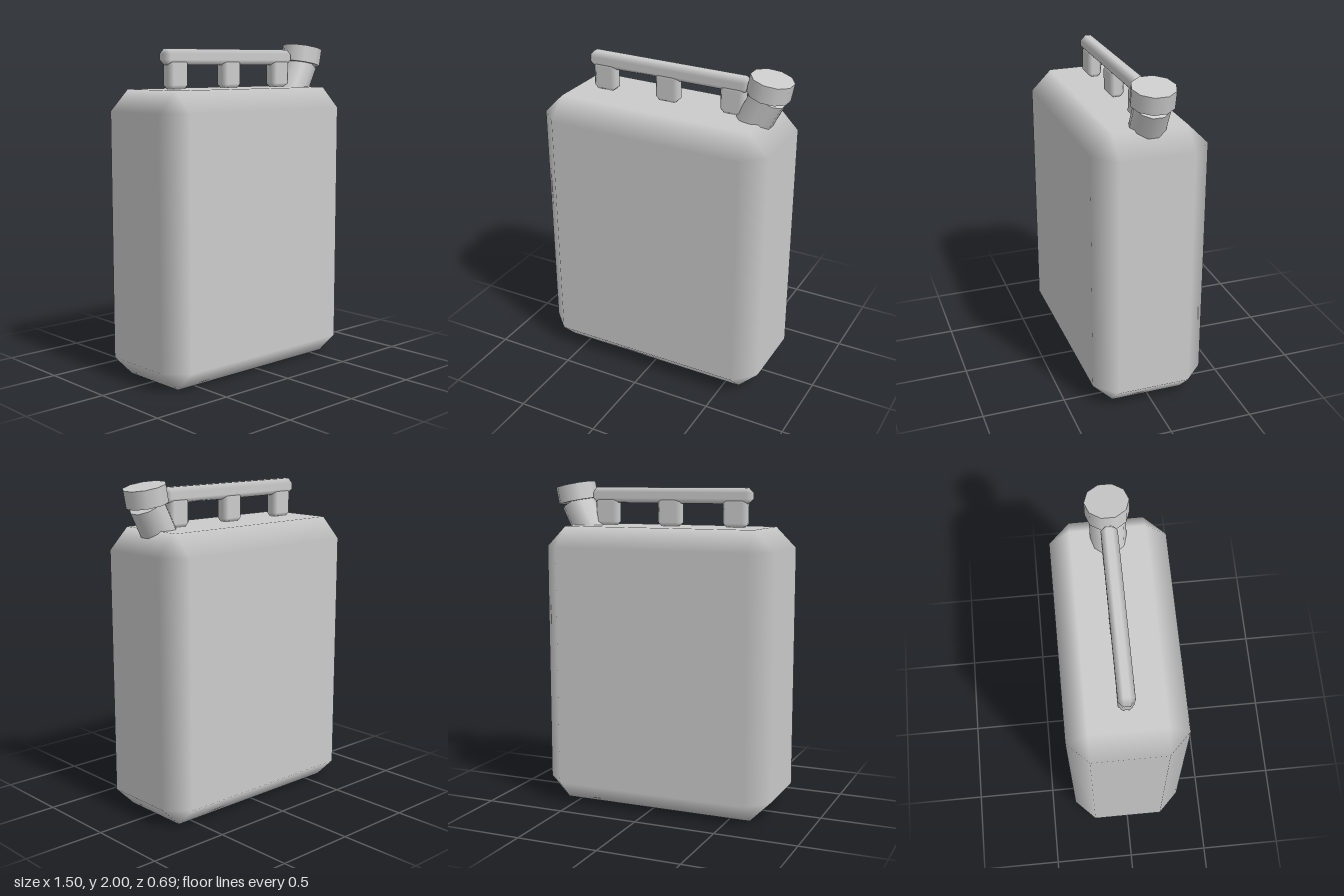
import * as THREE from 'three';

const material = new THREE.MeshStandardMaterial({ color: 0xcccccc });

// Box with one chamfer on every edge; normals follow the six main faces so chamfers shade softly
function chamferBox(w, h, d, c) {
  const half = [w / 2, h / 2, d / 2];
  const positions = [], normals = [], index = [];
  // Corner id = axis * 8 + sign bits
  for (let axis = 0; axis < 3; axis++) {
    for (let bits = 0; bits < 8; bits++) {
      for (let k = 0; k < 3; k++) {
        const sign = bits >> k & 1 ? 1 : -1;
        positions.push(sign * (k === axis ? half[k] : half[k] - c));
        normals.push(k === axis ? sign : 0);
      }
    }
  }
  const at = i => new THREE.Vector3().fromArray(positions, i * 3);
  // Add a convex face, turned to point away from the centre
  const face = (...ids) => {
    const [p, q, r] = ids.map(at);
    const n = q.clone().sub(p).cross(r.clone().sub(p));
    if (n.dot(p) < 0) ids.reverse();
    for (let i = 1; i < ids.length - 1; i++) index.push(ids[0], ids[i], ids[i + 1]);
  };
  for (let a = 0; a < 3; a++) {
    const b = (a + 1) % 3, e = (a + 2) % 3;
    const A = 1 << a, B = 1 << b, E = 1 << e;
    // Main faces
    for (const s of [0, A]) face(a * 8 + s, a * 8 + s + B, a * 8 + s + B + E, a * 8 + s + E);
    // Chamfers between faces a and b
    for (const s of [0, A]) for (const t of [0, B]) {
      const m = s + t;
      face(a * 8 + m, a * 8 + m + E, b * 8 + m + E, b * 8 + m);
    }
  }
  // Corner triangles
  for (let bits = 0; bits < 8; bits++) face(bits, 8 + bits, 16 + bits);

  const geometry = new THREE.BufferGeometry();
  geometry.setAttribute('position', new THREE.Float32BufferAttribute(positions, 3));
  geometry.setAttribute('normal', new THREE.Float32BufferAttribute(normals, 3));
  geometry.setIndex(index);
  return geometry;
}

export function createModel() {
  const group = new THREE.Group();
  const add = (name, geometry, x, y, z = 0, tilt = 0) => {
    const mesh = new THREE.Mesh(geometry, material);
    mesh.name = name;
    mesh.position.set(x, y, z);
    mesh.rotation.z = -THREE.MathUtils.degToRad(tilt);
    group.add(mesh);
  };

  // Can body with a flat panel on its front
  add('body', chamferBox(1.466, 1.725, 0.69, 0.125), -0.017, 0.8625);
  add('frontPanel', new THREE.PlaneGeometry(0.59, 0.6), -0.015, 0.8, 0.347);

  // Carrying bar on three posts
  add('handleBar', chamferBox(1.045, 0.095, 0.095, 0.03), -0.022, 1.912);
  for (const x of [-0.44, -0.02, 0.4]) add('handlePost', chamferBox(0.15, 0.175, 0.09, 0.025), x, 1.812);

  // Leaning spout neck and its cap, ten-sided
  add('spoutNeck', new THREE.CylinderGeometry(0.105, 0.105, 0.26, 10), 0.557, 1.752, 0, 27);
  add('spoutCap', new THREE.CylinderGeometry(0.127, 0.127, 0.105, 10), 0.621, 1.923, 0, 11);

  return group;
}
